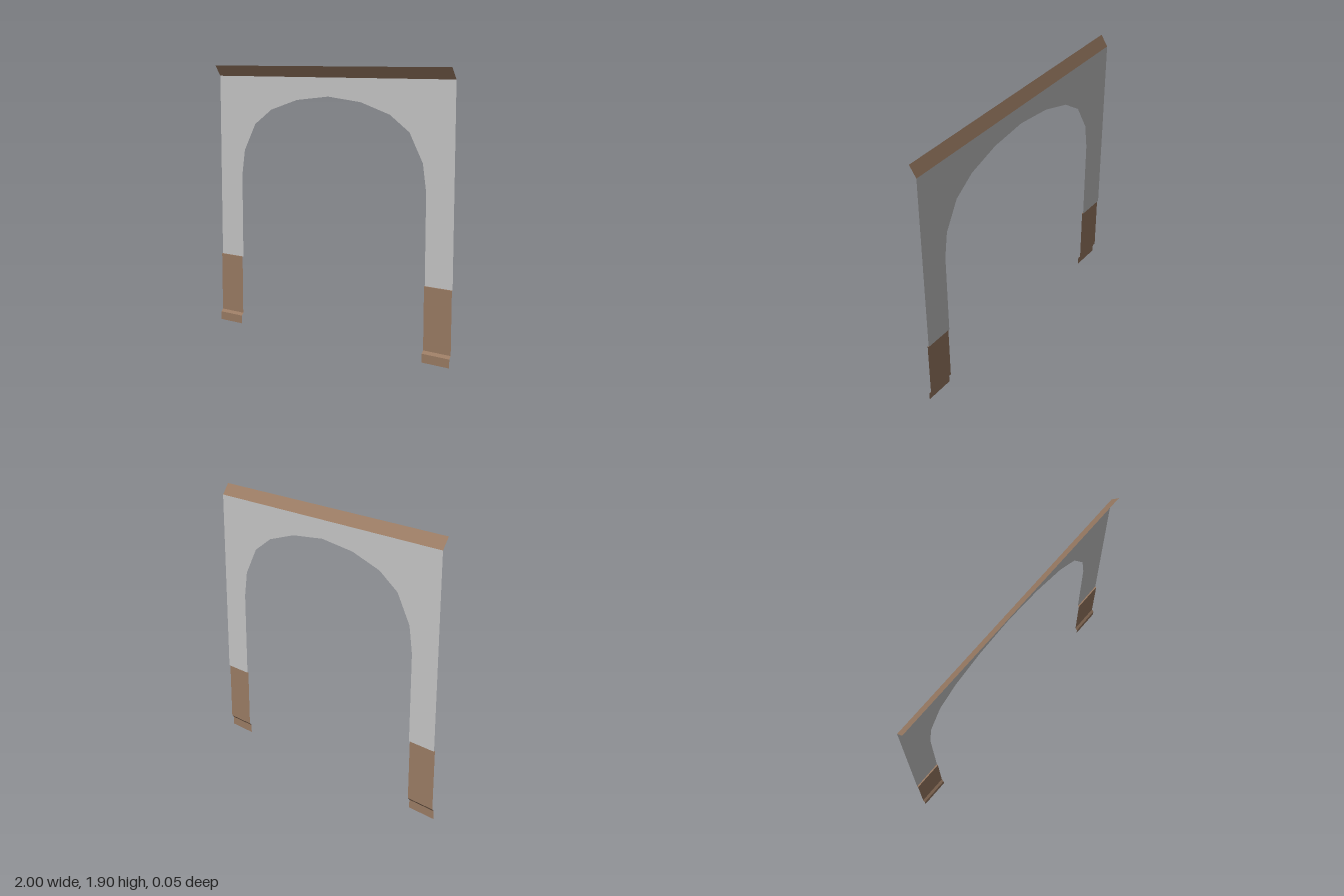
import * as THREE from 'three';

const wallPaint = new THREE.MeshStandardMaterial({ color: 0xc8c8c8, side: THREE.DoubleSide });
wallPaint.name = 'wall grey';
const wood = new THREE.MeshStandardMaterial({ color: 0x9c7d65, side: THREE.DoubleSide });
wood.name = 'wood brown';

const WALL_Z = -0.025;
const HALF_WIDTH = 1;
const OPENING = 0.792;
const BASE_TOP = 0.503;
const WALL_TOP = 1.826;

// Flat-faced sheet: a [y, z] profile, listed upwards, swept from x0 to x1
function sweptSheet(profile, x0, x1) {
  const positions = [];
  for (let i = 0; i < profile.length - 1; i++) {
    const [ya, za] = profile[i];
    const [yb, zb] = profile[i + 1];
    positions.push(
      x0, ya, za, x1, ya, za, x1, yb, zb,
      x0, ya, za, x1, yb, zb, x0, yb, zb
    );
  }
  const geometry = new THREE.BufferGeometry();
  geometry.setAttribute('position', new THREE.Float32BufferAttribute(positions, 3));
  geometry.computeVertexNormals();
  return geometry;
}

function addPart(group, name, geometry, material) {
  const mesh = new THREE.Mesh(geometry, material);
  mesh.name = name;
  group.add(mesh);
  return mesh;
}

export function createModel() {
  const model = new THREE.Group();
  model.name = 'archedWall';

  // Wall sheet with a faceted arch cut up from below
  const halfArch = [[OPENING, 1.112], [0.765, 1.294], [0.66, 1.487], [0.507, 1.594], [0.273, 1.668]];
  const arch = [
    ...halfArch,
    [0, 1.698],
    ...halfArch.map(([x, y]) => [-x, y]).reverse(),
  ];
  const outline = [
    [-HALF_WIDTH, BASE_TOP], [-HALF_WIDTH, WALL_TOP], [HALF_WIDTH, WALL_TOP], [HALF_WIDTH, BASE_TOP],
    [OPENING, BASE_TOP], ...arch, [-OPENING, BASE_TOP],
  ];
  const wallShape = new THREE.Shape(outline.map(([x, y]) => new THREE.Vector2(x, y)));
  const wall = addPart(model, 'archWall', new THREE.ShapeGeometry(wallShape), wallPaint);
  wall.position.z = WALL_Z;

  // Crown moulding leaning forward from the wall top
  const crown = [[WALL_TOP, WALL_Z], [1.901, 0.025]];
  addPart(model, 'crownMoulding', sweptSheet(crown, -HALF_WIDTH, HALF_WIDTH), wood);

  // Wainscot panels: skirting, sloped step, panel and top ledge
  const wainscot = [[0, 0], [0.059, 0], [0.078, -0.016], [BASE_TOP, -0.016], [BASE_TOP, WALL_Z]];
  addPart(model, 'leftWainscot', sweptSheet(wainscot, OPENING, HALF_WIDTH), wood);
  addPart(model, 'rightWainscot', sweptSheet(wainscot, -HALF_WIDTH, -OPENING), wood);

  return model;
}
